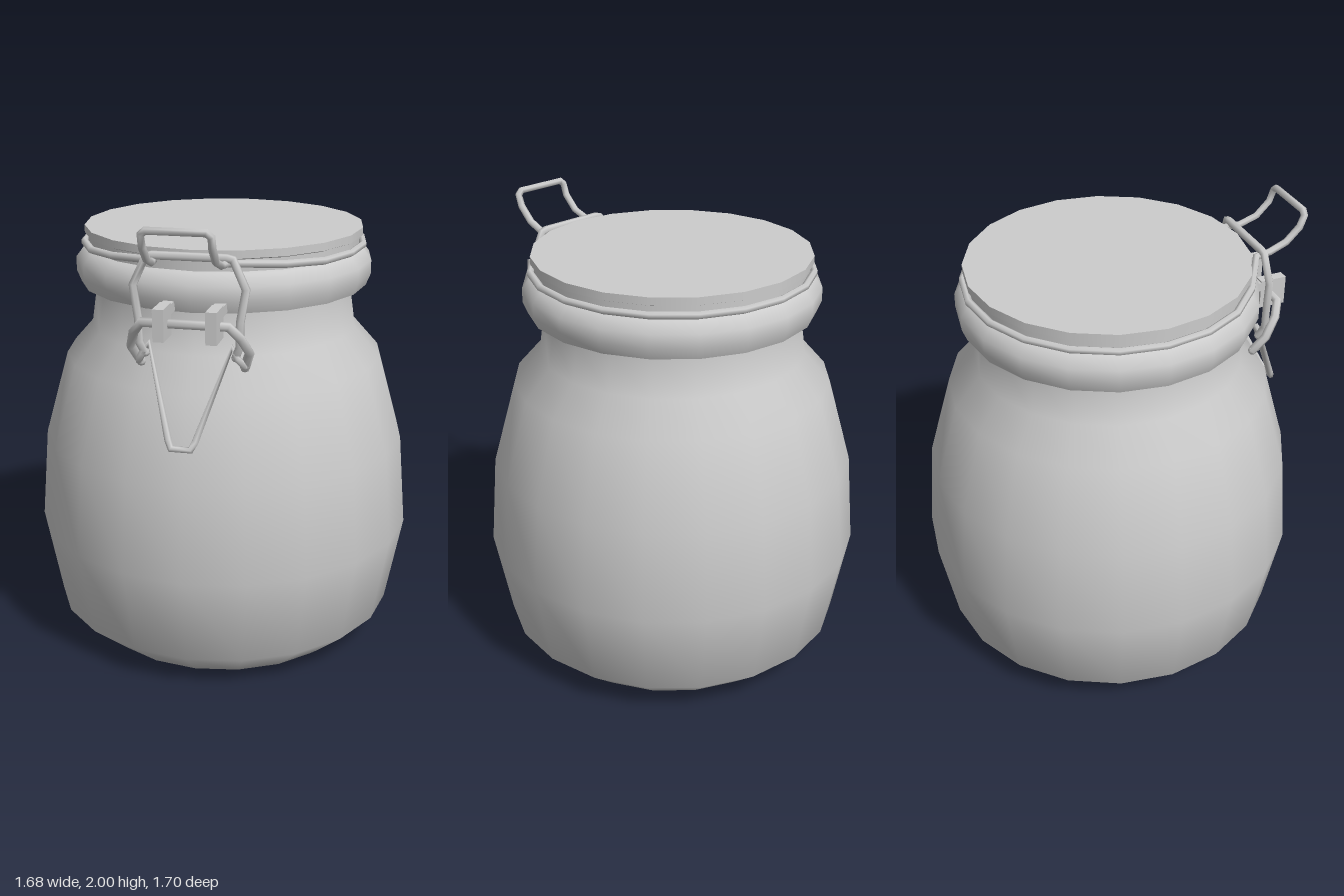
import * as THREE from 'three';

const material = new THREE.MeshStandardMaterial({ color: 0xcccccc, side: THREE.DoubleSide });
const SIDES = 20;
const AXIS_Z = -0.01; // the jar's axis sits a little behind the origin

// Polyline that a tube follows exactly, with mitred corners
class Polyline extends THREE.Curve {
  constructor(points, closed) {
    super();
    this.points = points;
    this.closed = closed;
  }
  index(t) {
    const n = this.points.length;
    return this.closed ? Math.round(t * n) % n : Math.round(t * (n - 1));
  }
  getPointAt(t, target = new THREE.Vector3()) {
    return target.copy(this.points[this.index(t)]);
  }
  getTangentAt(t, target = new THREE.Vector3()) {
    const p = this.points, n = p.length, i = this.index(t);
    const here = p[i];
    const prev = this.closed ? p[(i + n - 1) % n] : p[Math.max(i - 1, 0)];
    const next = this.closed ? p[(i + 1) % n] : p[Math.min(i + 1, n - 1)];
    const a = here.clone().sub(prev).normalize();
    const b = next.clone().sub(here).normalize();
    return target.copy(a.add(b).normalize());
  }
}

function addMesh(parent, name, geometry) {
  const mesh = new THREE.Mesh(geometry, material);
  mesh.name = name;
  parent.add(mesh);
  return mesh;
}

// Smooth turned part; each profile list starts a new hard edge
function turned(parent, name, ...profiles) {
  const part = new THREE.Group();
  part.name = name;
  part.position.z = AXIS_Z;
  for (const profile of profiles) {
    const points = profile.map(([r, y]) => new THREE.Vector2(r, y));
    addMesh(part, name + 'Surface', new THREE.LatheGeometry(points, SIDES));
  }
  parent.add(part);
}

// Bent wire with rounded ends
function wire(parent, name, points, radius, closed = false) {
  const part = new THREE.Group();
  part.name = name;
  const v = points.map(p => new THREE.Vector3(...p));
  const steps = closed ? v.length : v.length - 1;
  addMesh(part, name + 'Wire', new THREE.TubeGeometry(new Polyline(v, closed), steps, radius, 6, closed));
  if (!closed) {
    for (const end of [v[0], v[v.length - 1]]) {
      addMesh(part, name + 'End', new THREE.SphereGeometry(radius, 6, 4)).position.copy(end);
    }
  }
  parent.add(part);
}

// Left half of a wire followed by its mirror image
const mirrored = half => [...half, ...half.map(([x, y, z]) => [-x, y, z]).reverse()];

export function createModel() {
  const model = new THREE.Group();
  model.name = 'clipTopJar';

  // Jar body with foot, belly, shoulder and neck
  turned(model, 'body', [
    [0, 0], [0.6, 0], [0.765, 0.14], [0.838, 0.53], [0.805, 0.93],
    [0.7, 1.3], [0.585, 1.43], [0.56, 1.6], [0.56, 1.66],
  ]);

  // Thick collar round the mouth
  turned(model, 'collar',
    [[0.55, 1.62], [0.625, 1.62]],
    [[0.625, 1.62], [0.645, 1.67], [0.645, 1.73], [0.61, 1.775], [0.57, 1.785]]);

  // Seal and lid
  turned(model, 'seal', [[0.59, 1.77], [0.59, 1.84]]);
  turned(model, 'lid',
    [[0.58, 1.825], [0.605, 1.835]],
    [[0.605, 1.835], [0.605, 1.868]],
    [[0.605, 1.868], [0, 1.868]]);

  // Lid wire: round the back of the lid, then out and up into the front loop
  const lidWire = [];
  for (let i = 10; i >= 2; i--) {
    const a = (i / SIDES) * Math.PI * 2;
    lidWire.push([0.607 * Math.sin(a), i === 2 ? 1.805 : 1.795, 0.607 * Math.cos(a) + AXIS_Z]);
  }
  lidWire.push(
    [0.2, 1.82, 0.58], [0.15, 1.825, 0.61], [0.14, 1.83, 0.68],
    [0.136, 1.86, 0.76], [0.136, 1.92, 0.82], [0.136, 1.97, 0.838], [0.117, 1.986, 0.84]);
  wire(model, 'lidWire', mirrored(lidWire.slice(1)).concat([lidWire[0]]), 0.016, true);

  const latch = new THREE.Group();
  latch.name = 'latch';
  model.add(latch);

  // Tall loop that pulls the lid wire down
  wire(latch, 'pullLoop', mirrored([
    [0.185, 1.45, 0.63], [0.205, 1.5, 0.648], [0.207, 1.6, 0.648],
    [0.228, 1.73, 0.64], [0.175, 1.845, 0.635], [0.15, 1.85, 0.635],
  ]), 0.018);

  // Pivot bar with hooked ends
  wire(latch, 'pivotBar', mirrored([
    [0.215, 1.4, 0.59], [0.243, 1.475, 0.635], [0.215, 1.55, 0.69], [0.175, 1.6, 0.718],
  ]), 0.02);

  // Thumb lever
  wire(latch, 'lever', mirrored([
    [0.22, 1.41, 0.61], [0.195, 1.45, 0.645], [0.17, 1.49, 0.625],
    [0.055, 1.14, 0.785], [0.04, 1.11, 0.8],
  ]), 0.015);

  // Two lugs that hold the pivot bar to the collar
  for (const x of [-0.088, 0.122]) {
    const lug = new THREE.Group();
    lug.name = 'lug';
    lug.position.x = x;
    addMesh(lug, 'lugBlock', new THREE.BoxGeometry(0.045, 0.13, 0.12)).position.set(0, 1.607, 0.73);
    addMesh(lug, 'lugArm', new THREE.BoxGeometry(0.045, 0.04, 0.1)).position.set(0, 1.645, 0.63);
    latch.add(lug);
  }

  return model;
}
